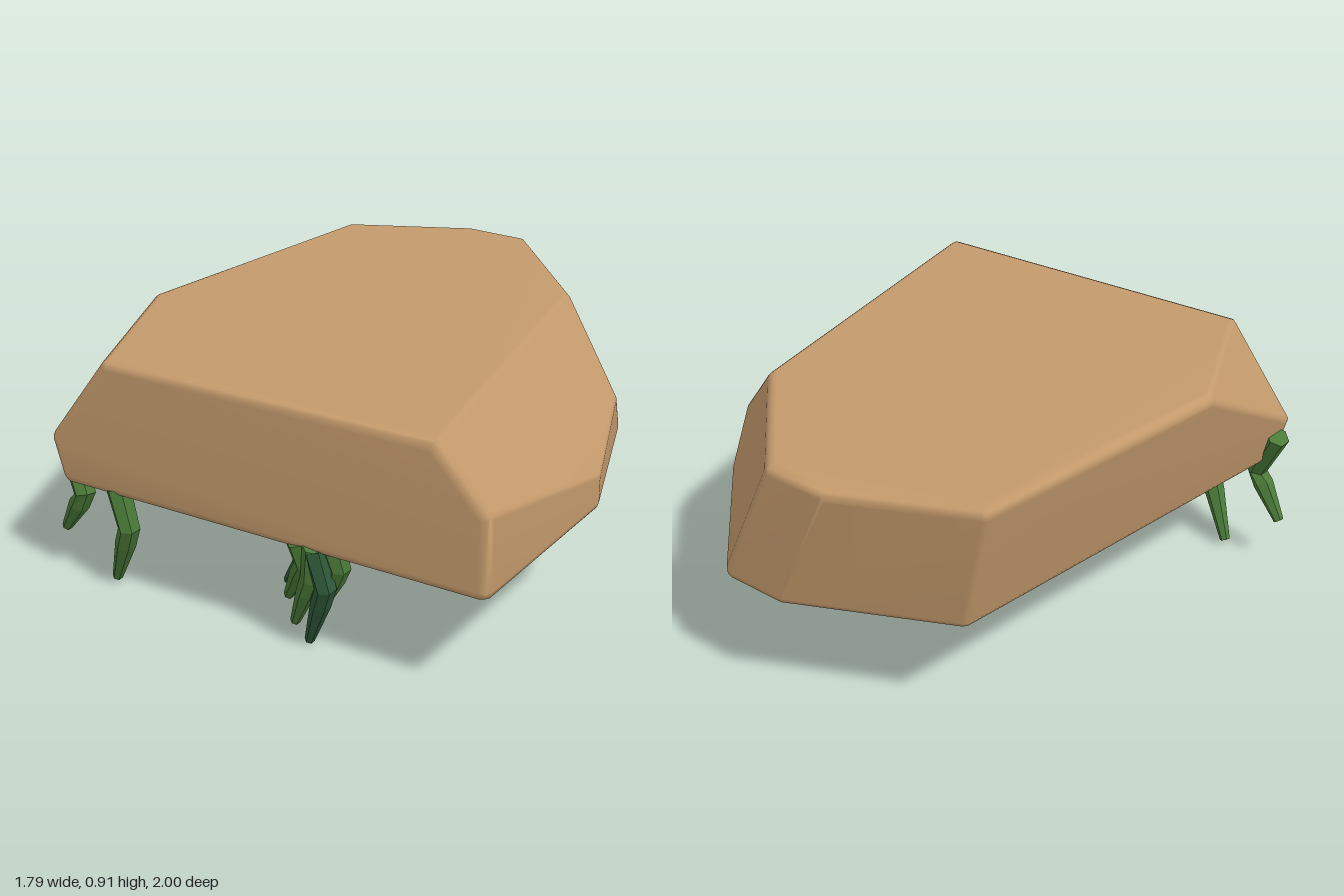
import * as THREE from 'three';
import { mergeVertices } from 'three/addons/utils/BufferGeometryUtils.js';
import { ConvexGeometry } from 'three/addons/geometries/ConvexGeometry.js';

const V = (x, y, z) => new THREE.Vector3(x, y, z);
const TOP = 0.92, BASE = 0.41, ROUND = 0.035;

// Convex solid bounded by planes, each given by three points, with rounded edges
function roundedSolid(faces, centre, r) {
  const planes = faces.map(([a, b, c]) => {
    const n = b.clone().sub(a).cross(c.clone().sub(a)).normalize();
    if (n.dot(centre.clone().sub(a)) > 0) n.negate();
    return { n, d: n.dot(a) - r };
  });
  const points = [];
  const push = (corner, ...normals) => {
    const n = normals.reduce((s, m) => s.add(m), V(0, 0, 0)).normalize();
    points.push(corner.clone().addScaledVector(n, r));
  };
  for (let i = 0; i < planes.length; i++)
    for (let j = i + 1; j < planes.length; j++)
      for (let k = j + 1; k < planes.length; k++) {
        const [p, q, s] = [planes[i], planes[j], planes[k]];
        const qs = q.n.clone().cross(s.n);
        const det = p.n.dot(qs);
        if (Math.abs(det) < 1e-4) continue;
        const corner = qs.multiplyScalar(p.d)
          .addScaledVector(s.n.clone().cross(p.n), q.d)
          .addScaledVector(p.n.clone().cross(q.n), s.d)
          .divideScalar(det);
        if (planes.some(({ n, d }) => n.dot(corner) > d + 1e-6)) continue;
        push(corner, p.n);
        push(corner, q.n);
        push(corner, s.n);
        push(corner, p.n, q.n);
        push(corner, q.n, s.n);
        push(corner, p.n, s.n);
        push(corner, p.n, q.n, s.n);
      }
  // Area-weighted normals keep the large faces flat and the edges soft
  let geometry = new ConvexGeometry(points);
  geometry.deleteAttribute('normal');
  geometry = mergeVertices(geometry, 1e-4);
  geometry.computeVertexNormals();
  return geometry;
}

// Six-sided tapered stem following a bent path
function stemGeometry(path, radii) {
  const last = path.length - 1;
  const geometry = new THREE.CylinderGeometry(1, 1, 1, 6, last);
  const pos = geometry.attributes.position;
  const turns = path.map((p, i) => {
    const along = path[Math.max(i - 1, 0)].clone().sub(path[Math.min(i + 1, last)]).normalize();
    return new THREE.Quaternion().setFromUnitVectors(V(0, 1, 0), along);
  });
  for (let v = 0; v < pos.count; v++) {
    const i = Math.round((0.5 - pos.getY(v)) * last);
    const p = V(pos.getX(v), 0, pos.getZ(v)).multiplyScalar(radii[i]).applyQuaternion(turns[i]).add(path[i]);
    pos.setXYZ(v, p.x, p.y, p.z);
  }
  geometry.computeVertexNormals();
  return geometry;
}

export function createModel() {
  const model = new THREE.Group();
  const material = (name, color, flatShading = false) =>
    Object.assign(new THREE.MeshStandardMaterial({ color, flatShading }), { name });
  const stone = material('sandstone', 0xc49a6c);
  const green = material('green', 0x4a7a38, true);
  const darkGreen = material('dark green', 0x2f5a3a, true);
  const add = (name, geometry, mat) => {
    const mesh = new THREE.Mesh(geometry, mat);
    mesh.name = name;
    model.add(mesh);
  };

  // Faceted stone slab
  add('stoneSlab', roundedSolid([
    [V(0, TOP, 0), V(1, TOP, 0), V(0, TOP, 1)],                                // top
    [V(0, BASE, 0), V(1, BASE, 0), V(0, BASE, 1)],                             // bottom
    [V(-0.55, TOP, 0.97), V(0.7, TOP, 0.805), V(0.89, BASE, 0.78)],            // front
    [V(-0.9, TOP, 0.35), V(-0.55, TOP, 0.97), V(-0.8, 0.6, 1.0)],              // front corner bevel
    [V(-0.885, TOP, -0.7), V(-0.905, TOP, 0.35), V(-0.75, BASE, -0.66)],       // leaning side
    [V(-0.45, TOP, -0.965), V(-0.885, TOP, -0.7), V(-0.27, BASE, -0.95)],      // back corner
    [V(-0.2, TOP, -0.985), V(-0.45, TOP, -0.965), V(0.02, BASE, -1.005)],      // back
    [V(-0.2, TOP, -0.985), V(0.3, TOP, -0.55), V(0.535, BASE, -0.575)],        // sloping back corner
    [V(0.535, BASE, -0.575), V(0.825, BASE, 0.03), V(0.825, TOP, 0.03)],       // side, rear half
    [V(0.825, BASE, 0.03), V(0.895, BASE, 0.78), V(0.895, TOP, 0.78)],         // side, front half
    [V(0.3, TOP, -0.55), V(0.7, TOP, 0.77), V(0.895, 0.715, 0.78)],            // upper side bevel
  ], V(0, 0.66, 0), ROUND), stone);

  // Bent stems: top, knee and tip, then thickness and colour
  const stems = [
    [V(-0.83, 0.54, 0.91), V(-0.735, 0.36, 0.94), V(-0.86, 0.185, 0.93), 0.045, green],
    [V(-0.57, 0.43, 0.93), V(-0.53, 0.28, 0.93), V(-0.655, 0.03, 0.89), 0.045, green],
    [V(0.19, 0.42, 0.78), V(0.16, 0.34, 0.77), V(0.065, 0.21, 0.77), 0.038, darkGreen],
    [V(0.18, 0.43, 0.84), V(0.19, 0.34, 0.82), V(0.085, 0.17, 0.79), 0.042, green],
    [V(0.25, 0.43, 0.84), V(0.225, 0.3, 0.83), V(0.12, 0.085, 0.8), 0.042, green],
    [V(0.25, 0.42, 0.84), V(0.285, 0.28, 0.83), V(0.165, 0.018, 0.78), 0.042, darkGreen],
    [V(0.3, 0.42, 0.8), V(0.315, 0.35, 0.79), V(0.22, 0.17, 0.77), 0.042, green],
  ];
  stems.forEach(([top, knee, tip, r, mat], i) => {
    const shin = knee.clone().lerp(tip, 0.3);
    add('stem' + (i + 1), stemGeometry([top, knee, shin, tip], [r, r * 0.9, r * 0.85, r * 0.42]), mat);
  });
  return model;
}
